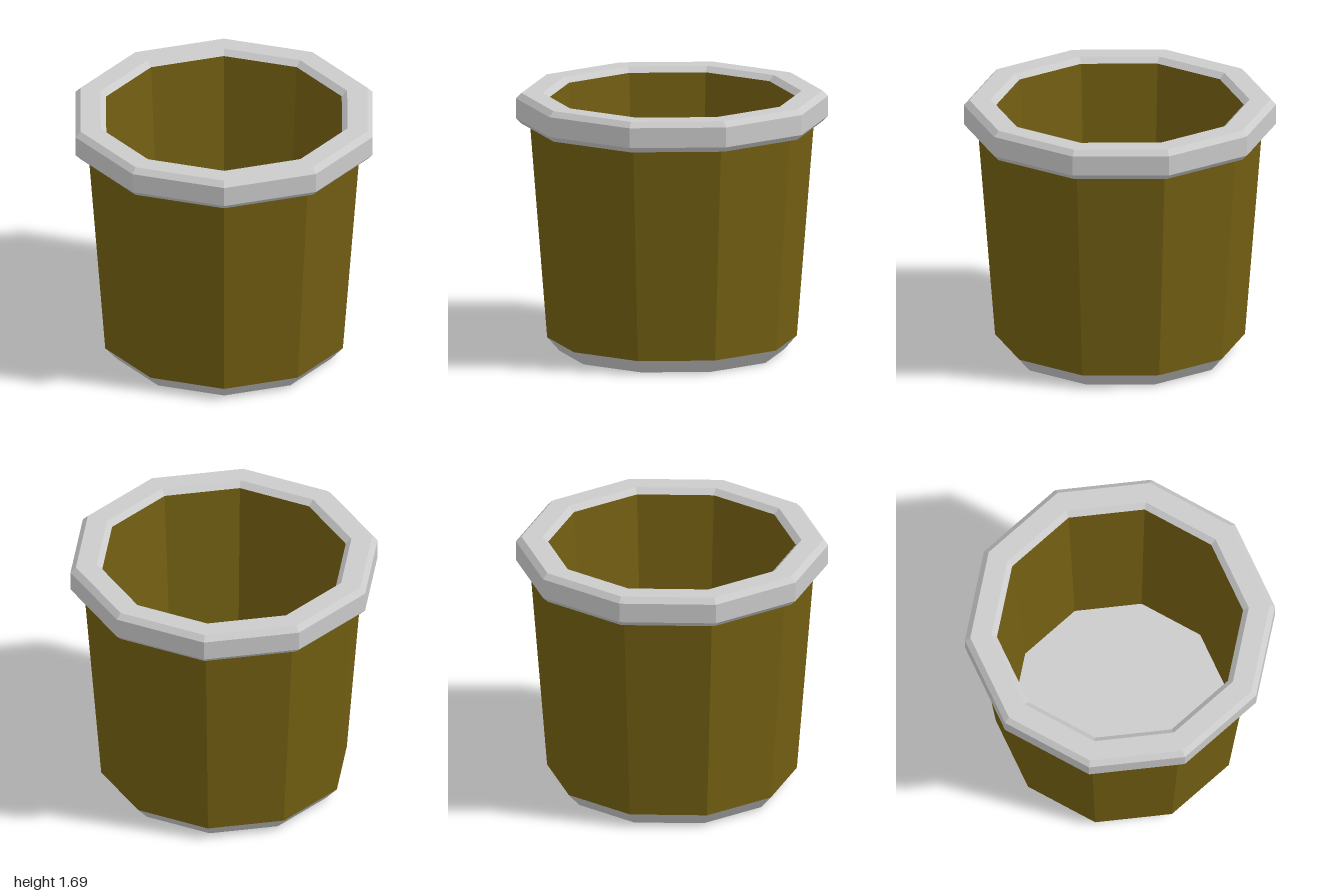
import * as THREE from 'three';

const SIDES = 10;
const grey = new THREE.MeshStandardMaterial({ color: 0xcccccc, flatShading: true });
const olive = new THREE.MeshStandardMaterial({ color: 0x735f12, flatShading: true });

// Ten-sided ring or disc swept from a [radius, height] profile, with a corner on the x axis
function ring(name, profile, material) {
  const points = profile.map(([r, y]) => new THREE.Vector2(r, y));
  const mesh = new THREE.Mesh(new THREE.LatheGeometry(points, SIDES, Math.PI / 2), material);
  mesh.name = name;
  return mesh;
}

export function createModel() {
  const group = new THREE.Group();
  group.name = 'bucket';

  group.add(
    // chamfered foot with closed underside
    ring('base', [[0, 0], [0.72, 0], [0.8, 0.09]], grey),
    // tapered outside wall
    ring('outerWall', [[0.8, 0.09], [0.91, 1.49]], olive),
    // overhanging bevelled lip
    ring('rim', [[0.91, 1.49], [0.965, 1.49], [1, 1.525], [1, 1.655], [0.965, 1.69], [0.83, 1.69], [0.793, 1.655]], grey),
    // tapered inside wall, running down to the floor
    ring('innerWall', [[0.793, 1.655], [0.697, 0.15]], olive),
    ring('floor', [[0.697, 0.15], [0, 0.15]], grey),
  );
  return group;
}
